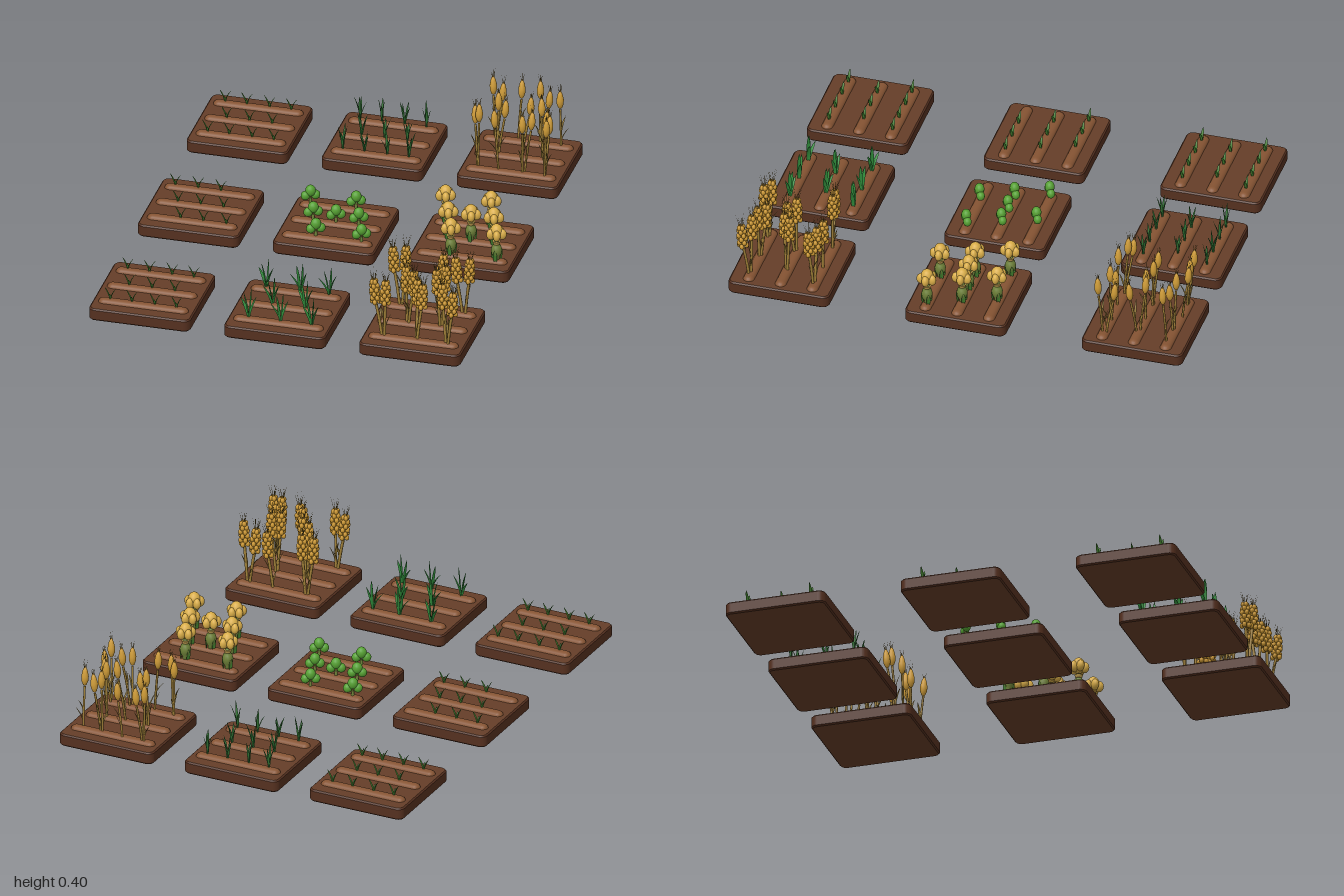
import * as THREE from 'three';

const mat = (color, side = THREE.FrontSide) => new THREE.MeshStandardMaterial({ color, side });
const M = {
  soil: mat(0x653e28), rim: mat(0x55301f), ridge: mat(0x865433),
  sprout: mat(0x3f7a2c, THREE.DoubleSide), grass: mat(0x2f7032, THREE.DoubleSide),
  broad: mat(0x2f8a3a, THREE.DoubleSide), bush: mat(0x55a032), stem: mat(0x6d8038),
  straw: mat(0xa08038), dryLeaf: mat(0x8d7434, THREE.DoubleSide), awn: mat(0x80682c),
  grain: mat(0xc99530), ear: mat(0xcf9c38), cap: mat(0xd9ad48), stalk: mat(0xc0a050),
};
const UP = new THREE.Vector3(0, 1, 0);
const TOP = 0.068; // height of the ridge crests
const ROWS = [-0.14, 0, 0.14];
const ball = new THREE.SphereGeometry(1, 14, 10);
const bead = new THREE.SphereGeometry(1, 8, 6);
const awnGeo = new THREE.ConeGeometry(0.0016, 1, 4).translate(0, 0.5, 0);

let seed = 7;
const rnd = (a, b) => {
  seed = (seed * 16807) % 2147483647;
  return a + (b - a) * (seed / 2147483647);
};

function add(parent, name, geo, material, pos = [0, 0, 0], scale = [1, 1, 1]) {
  const m = new THREE.Mesh(geo, material);
  m.name = name;
  m.position.set(...pos);
  m.scale.set(...scale);
  parent.add(m);
  return m;
}
function group(parent, name, x = 0, y = 0, z = 0) {
  const g = new THREE.Group();
  g.name = name;
  g.position.set(x, y, z);
  parent.add(g);
  return g;
}

// Pointed, folded leaf that arches outwards along +z
function leafGeo(len, width, bend) {
  const g = new THREE.PlaneGeometry(2, 1, 2, 6);
  const p = g.attributes.position;
  for (let i = 0; i < p.count; i++) {
    const t = p.getY(i) + 0.5, s = p.getX(i);
    const w = width * 0.5 * Math.pow(1 - t, 0.8) * (0.5 + 1.6 * t);
    p.setXYZ(i, s * w, len * t, bend * t * t + Math.abs(s) * w * 0.6);
  }
  g.computeVertexNormals();
  return g;
}
function leaf(parent, material, len, width, bend, angle, pos) {
  add(parent, 'leaf', leafGeo(len, width, bend), material, pos).rotation.y = angle;
}

// Rounded slab with a bevelled rim and three long ridges
function slabGeo(half, r, depth, bevel) {
  const s = new THREE.Shape(), h = half - bevel, k = h - r;
  [[k, -k, -Math.PI / 2], [k, k, 0], [-k, k, Math.PI / 2], [-k, -k, Math.PI]]
    .forEach(([x, y, a]) => s.absarc(x, y, r, a, a + Math.PI / 2, false));
  const g = new THREE.ExtrudeGeometry(s, {
    depth: depth - 2 * bevel, bevelEnabled: true, bevelThickness: bevel, bevelSize: bevel, bevelSegments: 1, curveSegments: 5,
  });
  return g.rotateX(-Math.PI / 2).translate(0, bevel, 0);
}
const slab = slabGeo(0.222, 0.024, 0.055, 0.006);
const ridgeGeo = new THREE.CapsuleGeometry(0.025, 0.345, 6, 14).rotateZ(Math.PI / 2).scale(1, 0.8, 1);
function plot(root, name, x, z) {
  const g = group(root, name, x, 0, z);
  add(g, 'soilBed', slab, [M.soil, M.rim]);
  ROWS.forEach((rz) => add(g, 'soilRidge', ridgeGeo, M.ridge, [0, 0.052, rz]));
  return g;
}

// Two-leaved seedling
function sprout(g, x, z) {
  const s = group(g, 'sprout', x, TOP, z);
  [1, -1].forEach((d) => leaf(s, M.sprout, 0.056, 0.016, 0.026, d * Math.PI / 2, [0, 0, 0]));
  leaf(s, M.sprout, 0.032, 0.012, 0.012, 0, [0, 0, 0]);
}
// Tuft of narrow blades
function tuft(g, x, z) {
  const s = group(g, 'grassTuft', x, TOP, z);
  const turn = rnd(0, 6);
  for (let i = 0; i < 4; i++)
    leaf(s, M.grass, rnd(0.075, 0.12), 0.014, rnd(0.01, 0.035), turn + i * 1.6, [0, 0, 0]);
}
// Young plant with broad leaves
function broadPlant(g, x, z) {
  const s = group(g, 'broadLeafPlant', x, TOP, z);
  for (let i = 0; i < 4; i++)
    leaf(s, M.broad, 0.135 - i * 0.018, 0.024, 0.01 + i * 0.012, (i % 2 ? -1 : 1) * Math.PI / 2 + rnd(-0.5, 0.5), [0, 0, 0]);
}
// Small bush of three lobes set diagonally
function bush(g, x, z) {
  const s = group(g, 'bush', x, TOP, z);
  s.rotation.y = 0.5;
  add(s, 'bushStem', new THREE.CylinderGeometry(0.006, 0.008, 0.03, 8), M.stem, [0, 0.01, 0]);
  add(s, 'bushCrown', ball, M.bush, [0, 0.058, 0], [0.023, 0.026, 0.021]);
  [-1, 1].forEach((d) => add(s, 'bushLobe', ball, M.bush, [d * 0.022, 0.037, 0], [0.02, 0.021, 0.018]));
}

// Ripe plant: jointed stem, swollen green base, five-lobed golden cap
const bodyGeo = new THREE.LatheGeometry([[0, 0], [0.014, 0], [0.012, 0.02], [0.021, 0.035], [0.024, 0.055],
  [0.019, 0.073], [0.011, 0.08], [0.011, 0.1], [0, 0.1]].map(([r, y]) => new THREE.Vector2(r, y)), 16);
function starPlant(g, x, z) {
  const s = group(g, 'starCapPlant', x, TOP - 0.008, z);
  add(s, 'stemBody', bodyGeo, M.stem);
  add(s, 'stemCollar', new THREE.CylinderGeometry(0.018, 0.013, 0.014, 14), M.stalk, [0, 0.088, 0]);
  [0, 1, 2].forEach((i) => leaf(s, M.sprout, 0.055, 0.024, 0.008, i * 2.1, [Math.sin(i * 2.1) * 0.016, 0.005, Math.cos(i * 2.1) * 0.016]));
  add(s, 'capCentre', ball, M.cap, [0, 0.14, 0], [0.028, 0.036, 0.028]);
  for (let i = 0; i < 5; i++) {
    const a = i * Math.PI * 0.4 + 0.3;
    const lobe = add(s, 'capLobe', ball, M.cap, [Math.sin(a) * 0.024, 0.131, Math.cos(a) * 0.024], [0.0165, 0.025, 0.021]);
    lobe.rotation.y = a;
  }
}

function awns(head, count, y, len, spread) {
  for (let i = 0; i < count; i++) {
    const a = i * 2.4, d = new THREE.Vector3(Math.sin(a) * spread, 1, Math.cos(a) * spread).normalize();
    const m = add(head, 'awn', awnGeo, M.awn, [d.x * 0.01, y, d.z * 0.01], [1, len * rnd(0.7, 1), 1]);
    m.quaternion.setFromUnitVectors(UP, d);
  }
}
// Curved stalk from the ridge to a head; returns a group aligned with its tip
function stalk(g, name, base, hx, hz, y, r) {
  const p = group(g, name);
  const tip = new THREE.Vector3(hx, y, hz);
  const start = new THREE.Vector3(base[0] + (hx - base[0]) * 0.25, 0.06, base[1] + (hz - base[1]) * 0.25);
  const mid = new THREE.Vector3(start.x * 0.7 + hx * 0.3, y * 0.6, start.z * 0.7 + hz * 0.3);
  const curve = new THREE.QuadraticBezierCurve3(start, mid, tip);
  add(p, 'stalk', new THREE.TubeGeometry(curve, 6, r, 6), M.straw);
  for (let i = 0; i < 2; i++) {
    const at = curve.getPoint(0.15 + i * 0.25).toArray();
    leaf(p, M.dryLeaf, rnd(0.06, 0.09), 0.013, rnd(0.015, 0.04), rnd(0, 6.28), at);
  }
  const head = group(p, 'head', hx, y, hz);
  head.quaternion.setFromUnitVectors(UP, curve.getTangent(1).lerp(UP, 0.6).normalize());
  return head;
}
const earGeo = new THREE.LatheGeometry([[0, 0], [0.008, 0.006], [0.015, 0.025], [0.016, 0.045], [0.011, 0.07],
  [0.005, 0.085], [0, 0.09]].map(([r, y]) => new THREE.Vector2(r, y)), 12);
function smoothEar(g, base, x, z) {
  const head = stalk(g, 'smoothEarPlant', base, x, z, rnd(0.23, 0.27), 0.005);
  add(head, 'ear', earGeo, M.ear);
  awns(head, 5, 0.075, 0.05, 0.2);
}
function beadedEar(g, base, x, z) {
  const head = stalk(g, 'beadedEarPlant', base, x, z, rnd(0.21, 0.235), 0.0065);
  for (let t = 0; t < 6; t++)
    for (let k = 0; k < 4; k++) {
      const a = (k + (t % 2) / 2) * Math.PI / 2, r = 0.0155 - Math.max(0, t - 3) * 0.003;
      add(head, 'grain', bead, M.grain, [Math.sin(a) * r, 0.01 + t * 0.0185, Math.cos(a) * r], [0.0105, 0.0125, 0.0105]);
    }
  add(head, 'earCore', bead, M.grain, [0, 0.056, 0], [0.012, 0.058, 0.012]);
  awns(head, 8, 0.095, 0.08, 0.25);
}

// Planting patterns: x positions for each of the three ridges
const four = [[-0.145, -0.05, 0.05, 0.145], [-0.1, 0, 0.1], [-0.145, -0.05, 0.05, 0.145]];
const stagger = [[-0.15, -0.05, 0.05], [-0.1, 0, 0.1], [-0.05, 0.05, 0.15]];
const wide = [[-0.15, 0.05], [-0.1, 0, 0.1], [-0.05, 0.15]];
const sparse = [[-0.13, 0.02, 0.145], [-0.065, 0.08], [-0.13, 0.01, 0.145]];
const plant = (g, pattern, make) => pattern.forEach((xs, i) => xs.forEach((x) => make(g, x, ROWS[i])));

// Each head grows from the nearest planting spot
function plantHeads(g, pattern, heads, make) {
  const spots = pattern.flatMap((xs, i) => xs.map((x) => [x, ROWS[i]]));
  heads.forEach(([x, z]) => {
    const d = (s) => Math.hypot(s[0] - x, s[1] - z);
    make(g, spots.reduce((a, b) => (d(b) < d(a) ? b : a)), x, z);
  });
}
const smoothHeads = [[-0.16, -0.165], [-0.12, -0.16], [-0.04, -0.175], [0.05, -0.15], [0.09, -0.135], [0.145, -0.12],
  [-0.1, -0.025], [-0.07, -0.015], [0.04, -0.015], [0.09, -0.025], [0.125, 0.03],
  [-0.165, 0.105], [-0.145, 0.12], [-0.07, 0.14], [0.05, 0.14], [0.08, 0.11], [0.155, 0.095], [0.16, 0.16]];
const beadedHeads = [[-0.16, -0.14], [-0.115, -0.145], [0.045, -0.15], [0.115, -0.14], [0.17, -0.125],
  [-0.07, 0], [-0.035, 0.025], [0.095, -0.015], [0.07, 0.012],
  [-0.165, 0.14], [-0.12, 0.155], [0.01, 0.115], [0.035, 0.14], [0.13, 0.14], [0.175, 0.165]];

export function createModel() {
  const root = new THREE.Group();
  root.name = 'cropPlots';
  const X = 0.592, Z = 0.778;
  // Seedling stage
  plant(plot(root, 'backSeedlingPlot', -X, -Z), four, sprout);
  plant(plot(root, 'middleSeedlingPlot', -X, 0), stagger, sprout);
  plant(plot(root, 'frontSeedlingPlot', -X, Z), four, sprout);
  // Growing stage
  plant(plot(root, 'backGrowingPlot', 0, -Z), four, tuft);
  plant(plot(root, 'middleGrowingPlot', 0, 0), wide, bush);
  plant(plot(root, 'frontGrowingPlot', 0, Z), sparse, broadPlant);
  // Ripe stage
  plantHeads(plot(root, 'backRipePlot', X, -Z), four, smoothHeads, smoothEar);
  plant(plot(root, 'middleRipePlot', X, 0), wide, starPlant);
  plantHeads(plot(root, 'frontRipePlot', X, Z), sparse, beadedHeads, beadedEar);
  return root;
}
